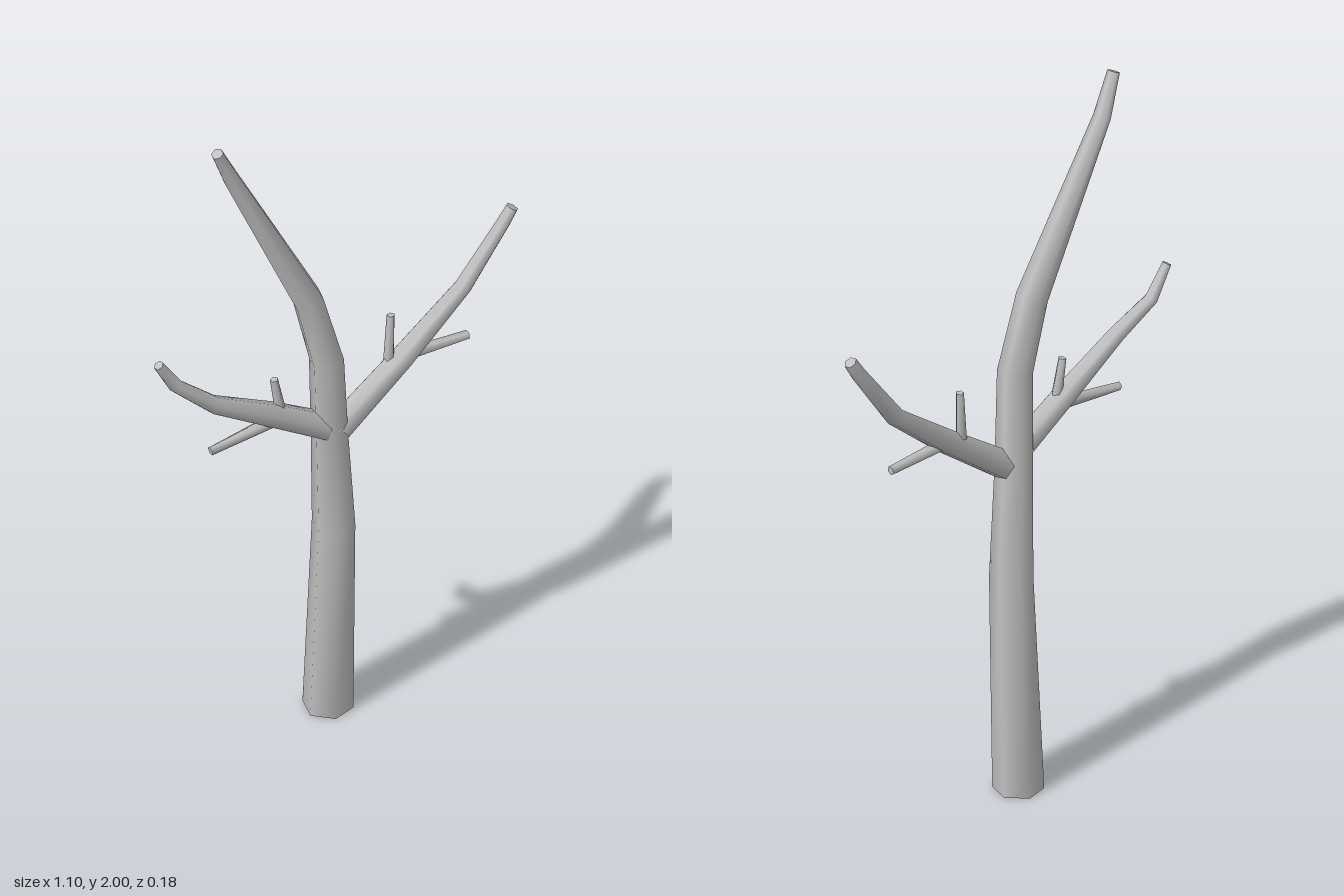
import * as THREE from 'three';

const bark = new THREE.MeshStandardMaterial({ color: 0xbfbfbf });
bark.name = 'grey bark';

// Tapered limb through rings [x, y, z, radius], smooth sides and flat end caps
function limb(name, rings, sides, twist = 0) {
  const points = rings.map(([x, y, z]) => new THREE.Vector3(x, y, z));
  const positions = [], index = [];
  const loops = rings.map((ring, i) => {
    const t = points[Math.min(i + 1, points.length - 1)].clone()
      .sub(points[Math.max(i - 1, 0)]).normalize();
    if (name === 'trunk' && i === 0) t.set(0, 1, 0); // level foot
    const v = new THREE.Vector3(0, 0, 1).addScaledVector(t, -t.z).normalize();
    const u = new THREE.Vector3().crossVectors(t, v);
    return Array.from({ length: sides }, (_, k) => {
      const a = twist + (k / sides) * Math.PI * 2;
      return points[i].clone()
        .addScaledVector(u, ring[3] * Math.cos(a))
        .addScaledVector(v, ring[3] * Math.sin(a));
    });
  });
  loops.forEach((loop) => loop.forEach((p) => positions.push(p.x, p.y, p.z)));
  for (let i = 0; i < loops.length - 1; i++) {
    for (let k = 0; k < sides; k++) {
      const a = i * sides + k, b = i * sides + ((k + 1) % sides);
      index.push(a, a + sides, b, b, a + sides, b + sides);
    }
  }
  // End caps with their own vertices
  [loops[0], loops[loops.length - 1]].forEach((loop, end) => {
    const start = positions.length / 3;
    loop.forEach((p) => positions.push(p.x, p.y, p.z));
    for (let k = 1; k < sides - 1; k++) {
      if (end) index.push(start, start + k + 1, start + k);
      else index.push(start, start + k, start + k + 1);
    }
  });
  const geometry = new THREE.BufferGeometry();
  geometry.setAttribute('position', new THREE.Float32BufferAttribute(positions, 3));
  geometry.setIndex(index);
  geometry.computeVertexNormals();
  const mesh = new THREE.Mesh(geometry, bark);
  mesh.name = name;
  return mesh;
}

export function createModel() {
  const tree = new THREE.Group();
  tree.name = 'bareTree';
  tree.add(
    // Trunk leaning over into its long top
    limb('trunk', [
      [0, 0, -0.024, 0.068], [0, 0.62, 0.004, 0.058], [-0.024, 0.94, 0.022, 0.05],
      [-0.046, 1.2, 0.043, 0.047], [-0.098, 1.41, 0.035, 0.043],
      [-0.318, 1.88, 0.011, 0.024], [-0.37, 1.992, 0.025, 0.017],
    ], 6, -0.28),
    // Main side branches
    limb('leftBranch', [
      [0.0, 0.945, 0.03, 0.042], [0.2, 1.09, 0.022, 0.036],
      [0.39, 1.24, 0.014, 0.026], [0.51, 1.41, 0.022, 0.02], [0.535, 1.452, 0.025, 0.018],
    ], 6, 0.3),
    limb('rightBranch', [
      [-0.02, 0.955, 0.03, 0.04], [-0.2, 1.07, 0.034, 0.036],
      [-0.39, 1.185, 0.04, 0.026], [-0.49, 1.27, 0.013, 0.02], [-0.542, 1.357, 0.012, 0.014],
    ], 6, 0.3),
    // Small twigs
    limb('leftUpperTwig', [[0.162, 1.06, 0.015, 0.016], [0.172, 1.233, 0.01, 0.011]], 5),
    limb('leftLowerTwig', [[0.2, 1.093, 0.02, 0.018], [0.402, 1.08, 0.018, 0.013]], 5),
    limb('rightUpperTwig', [[-0.178, 1.06, 0.035, 0.016], [-0.202, 1.188, 0.035, 0.011]], 5),
    limb('rightLowerTwig', [[-0.17, 1.06, 0.035, 0.02], [-0.398, 1.032, 0.036, 0.012]], 5),
  );
  return tree;
}
